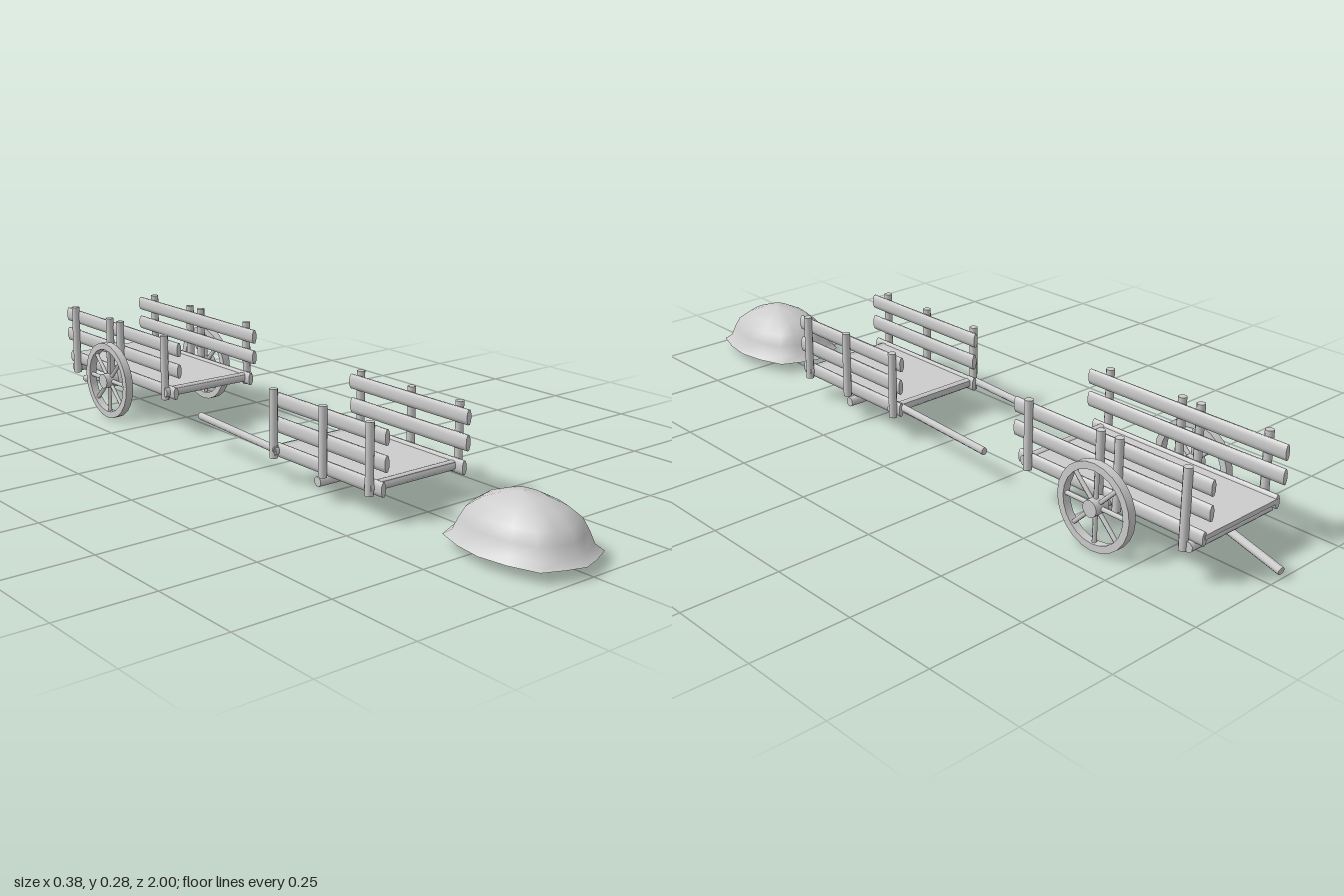
import * as THREE from 'three';

const mat = new THREE.MeshStandardMaterial({ color: 0xcccccc });
const matDouble = new THREE.MeshStandardMaterial({ color: 0xcccccc, side: THREE.DoubleSide });

function add(parent, geo, name, material = mat) {
  const mesh = new THREE.Mesh(geo, material);
  mesh.name = name;
  parent.add(mesh);
  return mesh;
}

// Rounded timber from a to b; w and h are its cross-section sizes
function beam(parent, name, a, b, w, h = w, sides = 8) {
  const start = new THREE.Vector3(...a), end = new THREE.Vector3(...b);
  const geo = new THREE.CylinderGeometry(0.5, 0.5, start.distanceTo(end), sides);
  geo.rotateY(Math.PI / sides);
  geo.rotateX(Math.PI / 2);
  geo.scale(w * 1.06, h * 1.06, 1);
  const mesh = add(parent, geo, name);
  mesh.position.copy(start).add(end).multiplyScalar(0.5);
  mesh.lookAt(end);
  return mesh;
}

// Fence-like side: rails on the inside, posts on the outside
function cartSide(parent, s, railX, postX, rails, posts) {
  const side = new THREE.Group();
  side.name = s > 0 ? 'leftSide' : 'rightSide';
  for (const [y, h, z0, z1] of rails)
    beam(side, 'rail', [s * railX, y, z0], [s * railX, y, z1], 0.014, h);
  for (const [z, y0, y1] of posts)
    beam(side, 'post', [s * postX, y0, z], [s * postX, y1, z], 0.021);
  parent.add(side);
}

function bed(parent, width, y, z0, z1) {
  const floor = add(parent, new THREE.BoxGeometry(width, 0.012, Math.abs(z0 - z1)), 'bed');
  floor.position.set(0, y, (z0 + z1) / 2);
}

// Spoked wheel turning about the x axis
function wheel(parent, x, y, z) {
  const g = new THREE.Group();
  g.name = 'wheel';
  const R = 0.108, r = 0.09, w = 0.011;
  const profile = [[r, -w], [R, -w], [R, w], [r, w], [r, -w]];
  // Each face of the rim is its own lathe so its edges stay sharp
  for (let i = 0; i < 4; i++) {
    const pts = [profile[i], profile[i + 1]].map(p => new THREE.Vector2(...p));
    const rim = add(g, new THREE.LatheGeometry(pts, 24), 'rim', matDouble);
    rim.rotation.z = Math.PI / 2;
  }
  const hub = add(g, new THREE.CylinderGeometry(0.021, 0.021, 0.042, 12), 'hub');
  hub.rotation.z = Math.PI / 2;
  for (let i = 0; i < 8; i++) {
    const a = i * Math.PI / 4, c = Math.cos(a), s = Math.sin(a);
    beam(g, 'spoke', [0, 0.012 * c, 0.012 * s], [0, 0.094 * c, 0.094 * s], 0.011, 0.011, 6);
  }
  g.position.set(x, y, z);
  parent.add(g);
}

// Heap with a rounded-rectangle outline, open underneath
function heap() {
  const sections = [[1, 0.026], [0.88, 0.04], [0.81, 0.068], [0.72, 0.096], [0.53, 0.12], [0.27, 0.138], [0, 0.145]];
  const outline = [[1, 0], [0.92, 0.4], [0.74, 0.79], [0.35, 0.92]];
  const ring = [];
  for (let q = 0; q < 4; q++)
    for (const i of [0, 1, 2, 3]) {
      // Mirror the quarter outline, running it backwards in odd quarters
      if (q % 2 === 0) ring.push(outline[i].map(v => (q ? -v : v)));
      else {
        const p = i === 0 ? [0, 1] : outline[4 - i];
        ring.push(q === 1 ? [-p[0], p[1]] : [p[0], -p[1]]);
      }
    }
  const n = ring.length, pos = [], index = [];
  for (const [k, y] of sections)
    for (const [x, z] of ring) pos.push(x * k * 0.136, y, z * k * 0.182);
  for (let j = 0; j < sections.length - 1; j++)
    for (let i = 0; i < n; i++) {
      const a = j * n + i, b = j * n + (i + 1) % n;
      index.push(a, a + n, b);
      if (j < sections.length - 2) index.push(b, a + n, b + n);
    }
  const geo = new THREE.BufferGeometry();
  geo.setAttribute('position', new THREE.Float32BufferAttribute(pos, 3));
  geo.setIndex(index);
  geo.computeVertexNormals();
  return geo;
}

export function createModel() {
  const model = new THREE.Group();

  // Heap at the front
  add(model, heap(), 'heap', matDouble).position.set(-0.02, 0, 0.816);

  // Wheelless cart body with two long shafts
  const front = new THREE.Group();
  front.name = 'frontCart';
  front.position.x = -0.012;
  bed(front, 0.25, 0.088, 0.475, 0.1);
  for (const s of [1, -1]) {
    cartSide(front, s, 0.128, 0.141,
      [[0.211, 0.038, 0.51, 0.085], [0.148, 0.04, 0.51, 0.09], [0.084, 0.036, 0.5, 0.09]],
      [[0.465, 0.064, 0.241], [0.298, 0.064, 0.241], [0.108, 0.064, 0.241]]);
    beam(front, 'shaft', [s * 0.13, 0.088, 0.12], [s * 0.13, 0.088, -0.24], 0.016, 0.019);
  }
  for (const [z, y] of [[0.465, 0.084], [0.285, 0.05], [0.112, 0.084]])
    beam(front, 'crossbar', [-0.146, y, z], [0.146, y, z], 0.024);
  model.add(front);

  // Larger cart on two spoked wheels
  const back = new THREE.Group();
  back.name = 'wheeledCart';
  bed(back, 0.25, 0.124, -0.38, -0.913);
  for (const s of [1, -1]) {
    cartSide(back, s, 0.126, 0.138,
      [[0.246, 0.038, -0.342, -0.926], [0.187, 0.038, -0.342, -0.926], [0.121, 0.034, -0.36, -0.912]],
      [[-0.396, 0.1, 0.278], [-0.62, 0.1, 0.278], [-0.675, 0.1, 0.278], [-0.866, 0.082, 0.278]]);
    wheel(back, s * 0.167, 0.108, -0.64);
  }
  beam(back, 'axle', [-0.18, 0.108, -0.64], [0.18, 0.108, -0.64], 0.024);
  beam(back, 'frontCrossbar', [-0.145, 0.122, -0.39], [0.145, 0.122, -0.39], 0.025);
  beam(back, 'rearCrossbar', [-0.14, 0.094, -0.88], [0.14, 0.094, -0.88], 0.025);
  beam(back, 'propPole', [-0.065, 0.112, -0.58], [-0.037, 0.018, -0.998], 0.02);
  model.add(back);

  return model;
}
